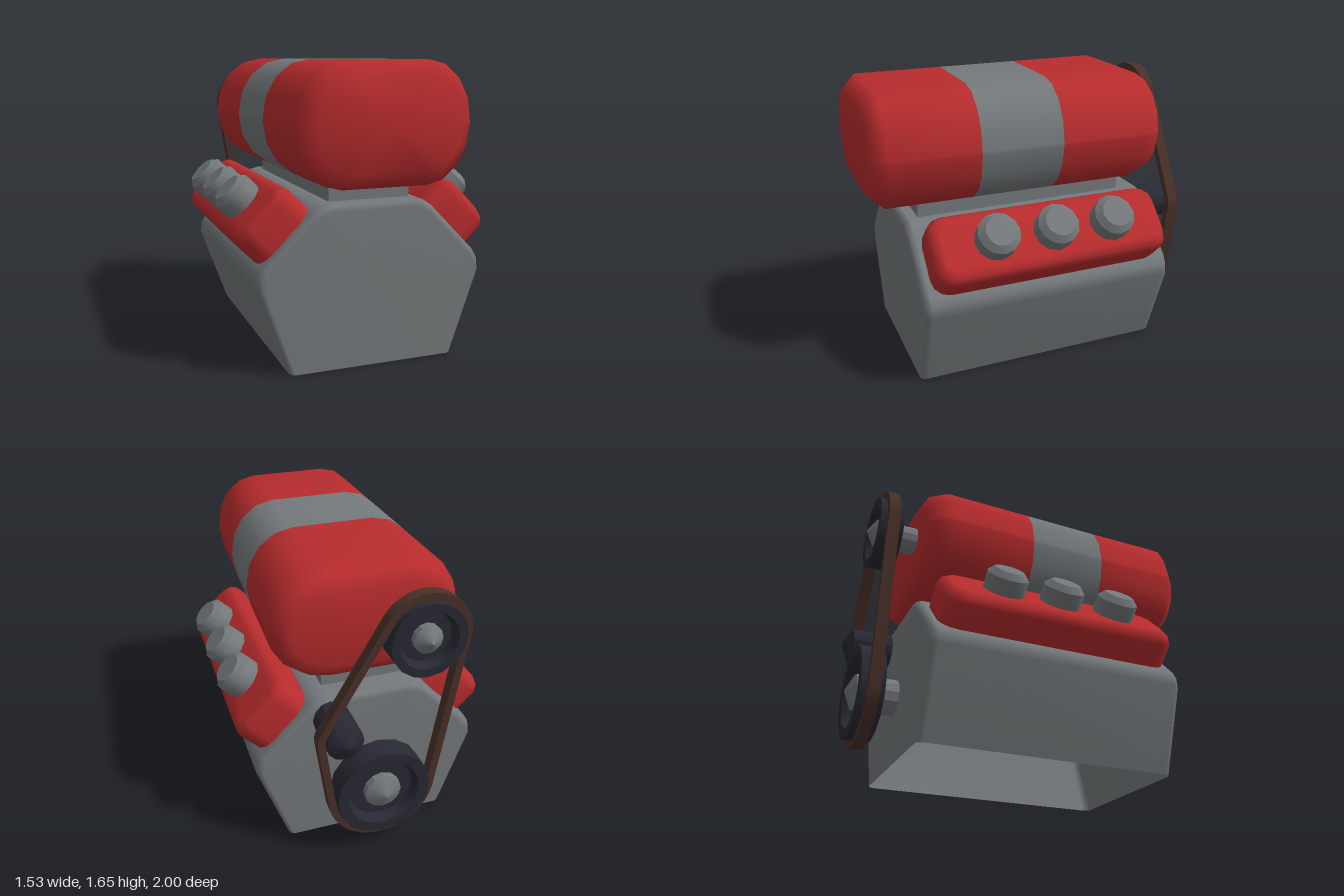
import * as THREE from 'three';
import { toCreasedNormals } from 'three/addons/utils/BufferGeometryUtils.js';

const mat = (name, color) => new THREE.MeshStandardMaterial({ name, color, side: THREE.DoubleSide });

// Counter-clockwise rounded rectangle with elliptical corners
function roundRect(hw, hh, rx, ry, seg) {
  const pts = [];
  [[1, 1], [-1, 1], [-1, -1], [1, -1]].forEach(([sx, sy], q) => {
    for (let i = 0; i <= seg; i++) {
      const a = (q + i / seg) * Math.PI / 2;
      pts.push([sx * (hw - rx) + Math.cos(a) * rx, sy * (hh - ry) + Math.sin(a) * ry]);
    }
  });
  return pts;
}

// Skin over rings { z, pts, mat } running from +z to -z
function loft(rings, { backCap = true, openEdge = false } = {}) {
  const n = rings[0].pts.length, pos = [], idx = [], geo = new THREE.BufferGeometry();
  rings.forEach(r => r.pts.forEach(([x, y]) => pos.push(x, y, r.z)));
  const cap = (k, flip) => {
    const c = pos.length / 3, p = rings[k].pts;
    pos.push(p.reduce((s, v) => s + v[0], 0) / n, p.reduce((s, v) => s + v[1], 0) / n, rings[k].z);
    for (let j = 0; j < n; j++) {
      const a = k * n + j, b = k * n + (j + 1) % n;
      idx.push(c, flip ? b : a, flip ? a : b);
    }
  };
  const group = (m, fn) => {
    const start = idx.length;
    fn();
    geo.addGroup(start, idx.length - start, m || 0);
  };
  group(rings[0].mat, () => cap(0, false));
  for (let k = 0; k < rings.length - 1; k++) {
    group(rings[k].mat, () => {
      for (let j = 0; j < (openEdge ? n - 1 : n); j++) {
        const a = k * n + j, b = k * n + (j + 1) % n;
        idx.push(a, a + n, b, b, a + n, b + n);
      }
    });
  }
  if (backCap) group(0, () => cap(rings.length - 1, true));
  geo.setAttribute('position', new THREE.Float32BufferAttribute(pos, 3));
  geo.setIndex(idx);
  geo.computeVertexNormals();
  return geo;
}

// Turned part along the z axis; profile is [radius, distance towards the back]
function turned(profile, sides) {
  const geo = new THREE.LatheGeometry(profile.map(p => new THREE.Vector2(...p)), sides);
  return toCreasedNormals(geo.rotateX(-Math.PI / 2), 0.5);
}

export function createModel() {
  const model = new THREE.Group();
  model.name = 'engine';
  const grey = mat('metalGrey', 0x74797b), red = mat('enamelRed', 0xb82c2d);
  const dark = mat('darkSteel', 0x282932), brown = mat('beltBrown', 0x4a3029);
  const add = (name, geo, material, x = 0, y = 0, z = 0, parent = model) => {
    const m = new THREE.Mesh(geo, material);
    m.name = name;
    m.position.set(x, y, z);
    parent.add(m);
    return m;
  };

  // Block: softened six-sided profile, open underneath
  const half = [[0.48, 0], [0.65, 0.48], [0.643, 0.545], [0.615, 0.59], [0.35, 0.86], [0.3, 0.893], [0.24, 0.907]];
  const blockRing = (z, inset) => {
    const right = half.map(([x, y]) => [x * (1 - inset / 0.65), y * (1 - inset / 0.9)]);
    return { z, pts: [...right, ...right.map(([x, y]) => [-x, y]).reverse()] };
  };
  add('block', loft([
    blockRing(0.8, 0.04), blockRing(0.788, 0.012), blockRing(0.76, 0),
    blockRing(-0.67, 0), blockRing(-0.698, 0.012), blockRing(-0.71, 0.04),
  ], { openEdge: true }), grey);

  // Neck between block and tank
  add('neck', new THREE.BoxGeometry(0.47, 0.18, 1.27), grey, 0, 0.96, 0.075);

  // Tank: tapered rounded body with a grey band
  const tankRing = (z, inset, m = 0) => {
    const w = 0.487 + (0.91 - z) * 0.0324 - inset, h = 0.325 - inset;
    return { z, mat: m, pts: roundRect(w, h, w - 0.235 + inset * 0.5, h - 0.01, 4) };
  };
  add('tank', loft([
    tankRing(1, 0.085), tankRing(0.91, 0), tankRing(0.41, 0, 1), tankRing(-0.06, 0),
    tankRing(-0.57, 0), tankRing(-0.665, 0.035), tankRing(-0.71, 0.11),
  ]), [red, grey], 0, 1.325, 0);

  // Rocker covers with three stub pipes each
  const coverRing = (z, inset) => ({ z, pts: roundRect(0.2 - inset, 0.6975 - inset, 0.1 - inset * 0.6, 0.1 - inset * 0.6, 3) });
  const coverGeo = loft([
    coverRing(0.198, 0.06), coverRing(0.175, 0.02), coverRing(0.135, 0), coverRing(-0.015, 0),
  ], { backCap: false }).rotateX(-Math.PI / 2);
  const pipeGeo = toCreasedNormals(new THREE.LatheGeometry(
    [[0.12, 0.15], [0.12, 0.29], [0.085, 0.325], [0, 0.325]].map(p => new THREE.Vector2(...p)), 12), 0.6);
  for (const s of [1, -1]) {
    const bank = new THREE.Group();
    bank.name = s > 0 ? 'leftBank' : 'rightBank';
    bank.position.set(s * 0.4775, 0.7325, 0.0425);
    bank.rotation.z = -s * Math.PI / 4;
    model.add(bank);
    add('rockerCover', coverGeo, red, 0, 0, 0, bank);
    for (let i = -1; i <= 1; i++) add('stubPipe', pipeGeo, grey, 0, 0, i * 0.345, bank);
  }

  // Pulleys with dished faces on pointed shafts
  const wheels = [
    { name: 'upper', x: -0.21, y: 1.33, r: 0.21, shaft: 0.08 },
    { name: 'crank', x: 0, y: 0.4, r: 0.27, shaft: 0.105 },
    { name: 'idler', x: 0.225, y: 0.785, r: 0.105, shaft: 0.105 },
  ];
  for (const w of wheels) {
    const idler = w.name === 'idler';
    add(w.name + 'Shaft', turned([[0, 0.69], [w.shaft, 0.69], [w.shaft, 0.948], [0, 1]], 12),
      idler ? dark : grey, w.x, w.y);
    if (idler) continue;
    add(w.name + 'Pulley', turned([[0, 0.83], [w.r, 0.83], [w.r, 0.967],
      [w.r * 0.77, 0.967], [w.r * 0.68, 0.91], [0, 0.91]], 16), dark, w.x, w.y);
  }

  // Belt: a ribbon stretched around the three wheels
  const outline = grow => {
    const pts = [];
    for (let i = 0; i < 36; i++) {
      const a = i / 36 * Math.PI * 2, c = Math.cos(a), s = Math.sin(a);
      const reach = w => w.x * c + w.y * s + w.r;
      const w = wheels.reduce((p, q) => (reach(q) > reach(p) ? q : p));
      pts.push(new THREE.Vector2(w.x + c * (w.r + grow), w.y + s * (w.r + grow)));
    }
    return pts;
  };
  const beltShape = new THREE.Shape(outline(0.042));
  beltShape.holes.push(new THREE.Path(outline(0)));
  const beltGeo = new THREE.ExtrudeGeometry(beltShape, { depth: 0.066, bevelEnabled: false });
  add('belt', toCreasedNormals(beltGeo, 0.5), brown, 0, 0, -0.931);

  return model;
}
